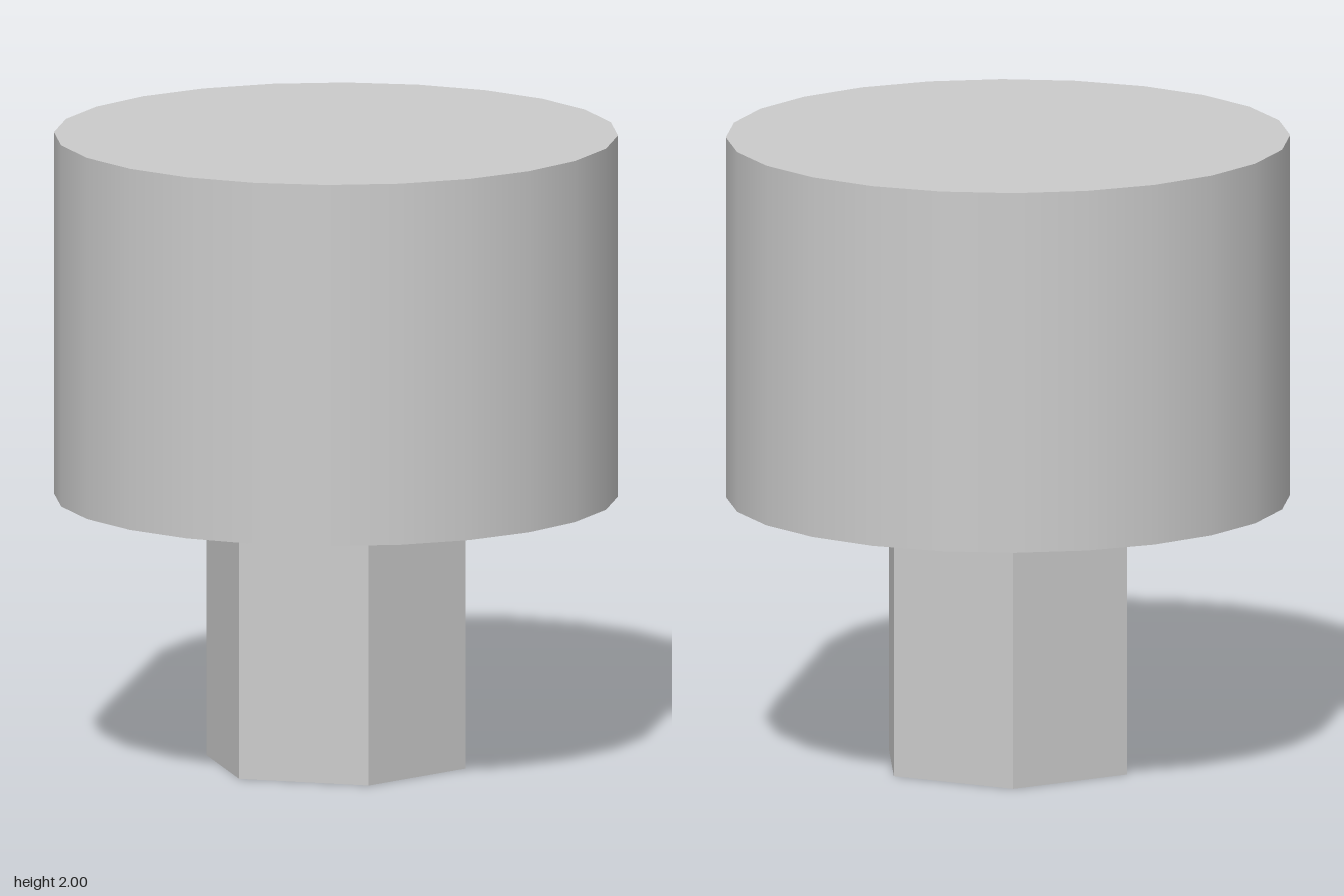
import * as THREE from 'three';

const STEM_HEIGHT = 0.85;
const TOTAL_HEIGHT = 2;

export function createModel() {
  const model = new THREE.Group();

  // Adds an upright prism standing between two heights.
  const addPrism = (name, radius, bottom, top, sides, turn, flatShading) => {
    const height = top - bottom;
    const mesh = new THREE.Mesh(
      new THREE.CylinderGeometry(radius, radius, height, sides, 1, false, turn),
      new THREE.MeshStandardMaterial({ color: 0xcccccc, flatShading })
    );
    mesh.name = name;
    mesh.position.y = bottom + height / 2;
    model.add(mesh);
  };

  // Hexagonal stem, turned about one degree
  addPrism('hexStem', 0.422, 0, STEM_HEIGHT, 6, Math.PI / 2 + 0.0165, true);

  // Wide round head with smooth sides
  addPrism('roundHead', 0.884, STEM_HEIGHT, TOTAL_HEIGHT, 24, 0, false);

  return model;
}
